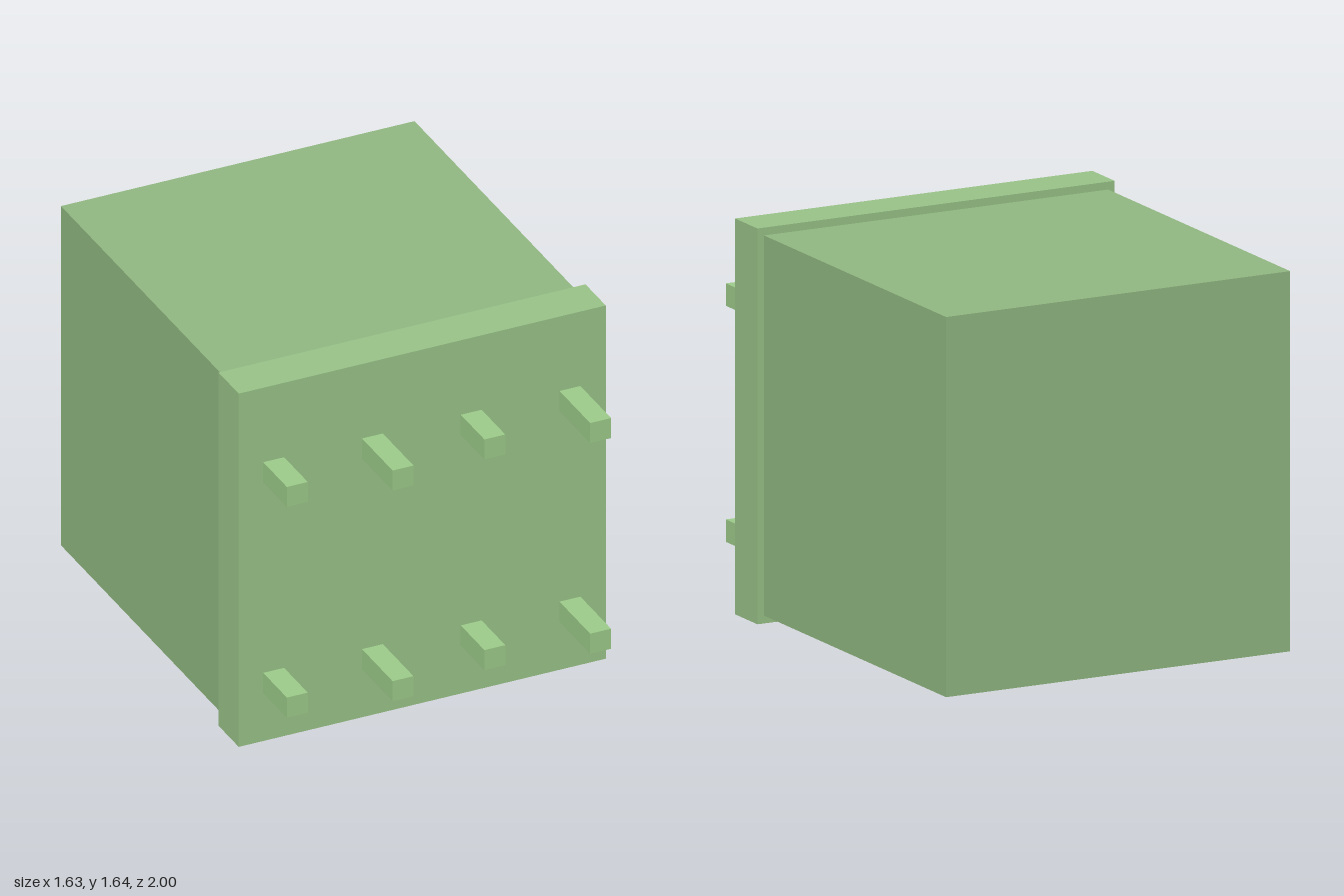
import * as THREE from 'three';

export function createModel() {
  const model = new THREE.Group();
  const paint = (color) => new THREE.MeshStandardMaterial({ color });
  const bodyPaint = paint(0x93bb83);
  const platePaint = paint(0x9cc68a);
  const pinPaint = paint(0x9fce8c);

  // Box given by its size, centre and back and front z
  const addBox = (name, material, width, height, x, y, back, front) => {
    const mesh = new THREE.Mesh(new THREE.BoxGeometry(width, height, front - back), material);
    mesh.position.set(x, y, (back + front) / 2);
    mesh.name = name;
    model.add(mesh);
  };

  // Housing and the slightly larger plate on its front
  addBox('housing', bodyPaint, 1.575, 1.575, 0, 0.82, -1, 0.527);
  addBox('frontPlate', platePaint, 1.635, 1.64, 0, 0.82, 0.527, 0.715);

  // Two rows of square pins, alternately short and long
  for (const [row, y] of [['lower', 0.27], ['upper', 1.248]]) {
    for (let i = 0; i < 4; i++) {
      const tip = i % 2 ? 1 : 0.935;
      addBox(`${row}Pin${i + 1}`, pinPaint, 0.093, 0.093, -0.662 + i * 0.44, y, 0.715, tip);
    }
  }
  return model;
}
